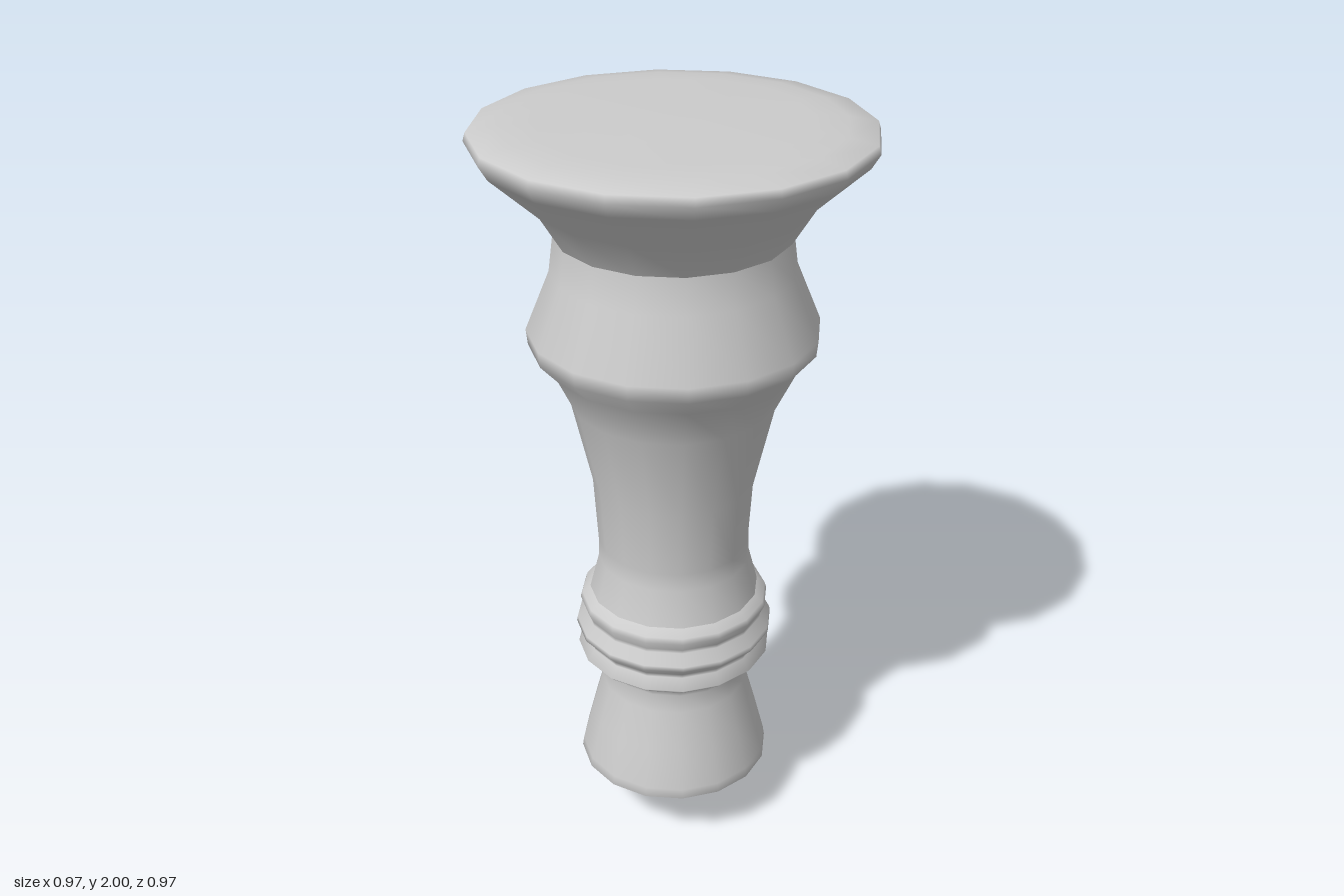
import * as THREE from 'three';

const SIDES = 16;

// Profiles as [radius, height], running from bottom to top
const PROFILES = {
  finial: [[0, 0], [0.03, 0.01], [0.058, 0.04], [0.069, 0.08], [0.065, 0.11],
    [0.056, 0.14], [0.06, 0.155], [0.09, 0.168]],
  foot: [[0.09, 0.168], [0.25, 0.176], [0.26, 0.184], [0.256, 0.21], [0.228, 0.32],
    [0.198, 0.43], [0.19, 0.48], [0.2, 0.5]],
  rings: [[0.2, 0.5], [0.245, 0.532], [0.26, 0.547], [0.238, 0.575], [0.24, 0.587],
    [0.264, 0.612], [0.262, 0.625], [0.24, 0.655], [0.24, 0.665], [0.252, 0.69],
    [0.247, 0.705], [0.225, 0.723]],
  shaft: [[0.225, 0.723], [0.2, 0.82], [0.199, 0.87], [0.21, 1.05], [0.262, 1.28],
    [0.315, 1.39], [0.36, 1.44], [0.364, 1.48], [0.302, 1.63], [0.29, 1.72]],
  capital: [[0.29, 1.72], [0.345, 1.81], [0.465, 1.92], [0.486, 1.955], [0.48, 1.975],
    [0.41, 1.988], [0.33, 1.994], [0, 2]],
};

export function createModel() {
  const model = new THREE.Group();
  model.name = 'turnedLeg';
  const material = new THREE.MeshStandardMaterial({ color: 0xcccccc });

  // Each turned section is a sixteen-sided smooth lathe
  for (const [name, profile] of Object.entries(PROFILES)) {
    const points = profile.map(([r, y]) => new THREE.Vector2(r, y));
    const mesh = new THREE.Mesh(new THREE.LatheGeometry(points, SIDES), material);
    mesh.name = name;
    model.add(mesh);
  }
  return model;
}
